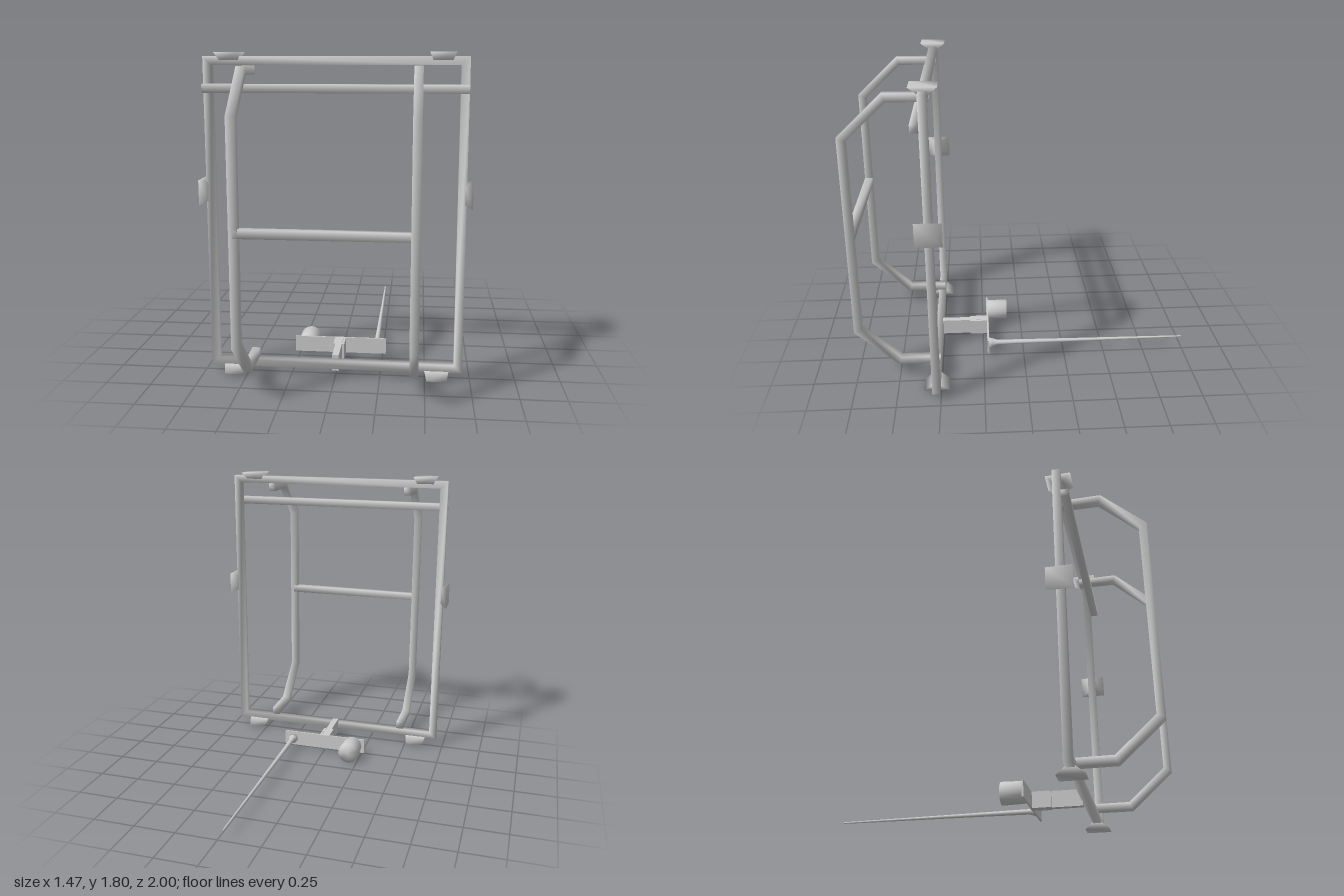
import * as THREE from 'three';
import { mergeVertices } from 'three/addons/utils/BufferGeometryUtils.js';

const material = new THREE.MeshStandardMaterial({ color: 0xcccccc });
const R = 0.023; // half width of the square tubing
const FRAME_Z = 0.525;

// Share vertices so the shading runs softly over the edges
function soften(geometry) {
  geometry.deleteAttribute('normal');
  geometry.deleteAttribute('uv');
  const merged = mergeVertices(geometry, 1e-4);
  merged.computeVertexNormals();
  return merged;
}

// Square tube with mitred corners along a path lying in the plane with normal n
function squareTube(points, n, closed = false) {
  const count = points.length;
  const sides = points.map((p, i) => {
    const q = points[(i + 1) % count];
    return new THREE.Vector3().crossVectors(n, q.clone().sub(p).normalize());
  });
  const positions = [], index = [];
  points.forEach((p, i) => {
    const first = !closed && i === 0, last = !closed && i === count - 1;
    const a = first ? sides[0] : sides[(i - 1 + count) % count];
    const b = last ? a : sides[i];
    const mitre = a.clone().add(b).divideScalar(1 + a.dot(b));
    for (const [u, v] of [[1, 1], [-1, 1], [-1, -1], [1, -1]]) {
      const c = p.clone().addScaledVector(mitre, u * R).addScaledVector(n, v * R);
      positions.push(c.x, c.y, c.z);
    }
  });
  const spans = closed ? count : count - 1;
  for (let i = 0; i < spans; i++) {
    for (let j = 0; j < 4; j++) {
      const k = (j + 1) % 4, next = ((i + 1) % count) * 4;
      const a = i * 4 + j, b = i * 4 + k, c = next + k, d = next + j;
      index.push(a, b, c, a, c, d);
    }
  }
  if (!closed) {
    const e = (count - 1) * 4;
    index.push(0, 2, 1, 0, 3, 2, e, e + 1, e + 2, e, e + 2, e + 3);
  }
  const geometry = new THREE.BufferGeometry();
  geometry.setAttribute('position', new THREE.Float32BufferAttribute(positions, 3));
  geometry.setIndex(index);
  geometry.computeVertexNormals();
  return geometry;
}

// Tapered block: half sizes [x, z] at the top and at the bottom
function taperedBlock(top, bottom, height) {
  const geometry = new THREE.BoxGeometry(2, height, 2);
  const p = geometry.attributes.position;
  for (let i = 0; i < p.count; i++) {
    const [hx, hz] = p.getY(i) > 0 ? top : bottom;
    p.setXYZ(i, p.getX(i) * hx, p.getY(i), p.getZ(i) * hz);
  }
  return soften(geometry);
}

export function createModel() {
  const model = new THREE.Group();
  const V = (x, y, z) => new THREE.Vector3(x, y, z);
  const X = V(1, 0, 0), Y = V(0, 1, 0), Z = V(0, 0, 1);

  function add(name, geometry, x = 0, y = 0, z = 0) {
    const mesh = new THREE.Mesh(geometry, material);
    mesh.name = name;
    mesh.position.set(x, y, z);
    model.add(mesh);
    return mesh;
  }

  // Rectangular main frame
  const fx = 0.682, low = 0.07, high = 1.755;
  add('mainFrame', squareTube([
    V(-fx, low, FRAME_Z), V(fx, low, FRAME_Z), V(fx, high, FRAME_Z), V(-fx, high, FRAME_Z),
  ], Z, true));

  // Bar across the front of the frame
  add('upperCrossbar', squareTube([V(-0.703, 1.61, 0.57), V(0.703, 1.61, 0.57)], Y));

  // Bent side rails and the bar between them
  const left = 0.441, right = -0.456;
  const bends = [[0.12, 0.505], [0.12, 0.74], [0.33, 0.974], [1.485, 0.974], [1.705, 0.74], [1.705, 0.505]];
  for (const [name, x] of [['leftRail', left], ['rightRail', right]]) {
    add(name, squareTube(bends.map(([y, z]) => V(x, y, z)), X));
  }
  add('middleBar', squareTube([V(right, 0.917, 0.974), V(left, 0.917, 0.974)], Y));

  // Flared pads around the frame
  const wide = [0.068, 0.074], narrow = [0.05, 0.02];
  for (const s of [-1, 1]) {
    add('topPad', taperedBlock(wide, narrow, 0.045), s * 0.565, 1.777, FRAME_Z);
    add('bottomPad', taperedBlock([0.068, 0.02], [0.055, 0.074], 0.042), s * 0.565, 0.037, FRAME_Z);
    const pad = add('sidePad', taperedBlock(wide, narrow, 0.043), s * 0.714, 1.05, FRAME_Z);
    pad.rotation.z = -s * Math.PI / 2;
  }

  // Tongue with a clevis holding the rear plate
  add('tongue', new THREE.BoxGeometry(0.038, 0.094, 0.295), -0.003, 0.067, 0.36);
  for (const x of [-0.028, 0.024]) {
    add('clevisPlate', new THREE.BoxGeometry(0.013, 0.094, 0.115), x, 0.067, 0.275);
  }
  add('rearPlate', new THREE.BoxGeometry(0.545, 0.094, 0.01), -0.002, 0.067, 0.22);

  // Round counterweight on the back of the plate
  const weight = new THREE.CylinderGeometry(0.061, 0.064, 0.127, 24).rotateX(Math.PI / 2);
  add('counterweight', soften(weight), -0.195, 0.066, 0.153);

  // Long slender spike with a flared foot
  const profile = [[0, 0], [0.03, 0], [0.028, 0.018], [0.016, 0.05], [0.012, 0.4], [0.005, 1.215], [0, 1.215]]
    .map(([r, h]) => new THREE.Vector2(r, h));
  const spike = new THREE.LatheGeometry(profile, 16).rotateX(-Math.PI / 2);
  add('spike', spike, 0.214, 0.066, 0.215);

  return model;
}
